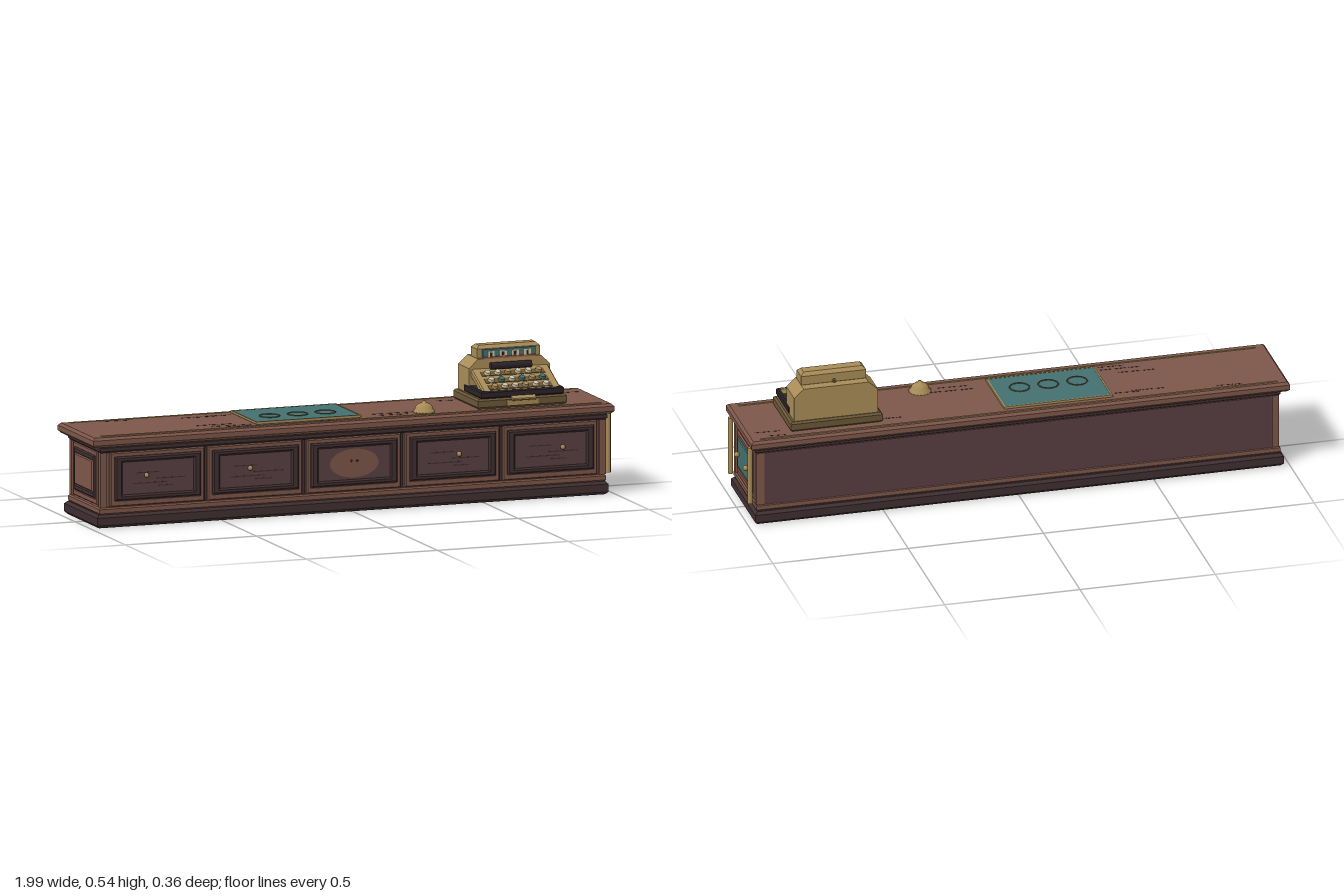
import * as THREE from 'three';

const mat = (name, color) => Object.assign(new THREE.MeshStandardMaterial({ color }), { name });
const M = {
  wood: mat('warm wood', 0x7d5649), dark: mat('dark wood', 0x402f31), plum: mat('plum wood', 0x593f42),
  brass: mat('brass', 0xa88c57), bronze: mat('dark bronze', 0x6a5737), teal: mat('teal leather', 0x43706f),
  black: mat('black enamel', 0x2b2328), cream: mat('cream', 0xd2c6a4), red: mat('copper', 0x9c5f48),
};

function add(parent, name, geo, material, x = 0, y = 0, z = 0) {
  const m = new THREE.Mesh(geo, material);
  m.name = name;
  m.position.set(x, y, z);
  parent.add(m);
  return m;
}

const box = (p, name, mt, w, h, d, x, y, z) => add(p, name, new THREE.BoxGeometry(w, h, d), mt, x, y, z);

function rect(w, h, Kind = THREE.Shape) {
  const s = new Kind();
  s.moveTo(-w / 2, -h / 2);
  s.lineTo(w / 2, -h / 2);
  s.lineTo(w / 2, h / 2);
  s.lineTo(-w / 2, h / 2);
  s.closePath();
  return s;
}

// Bevelled slab in the xy plane, centred, with an optional rectangular opening
function slab(w, h, d, c, hole) {
  const s = rect(w - 2 * c, h - 2 * c);
  if (hole) s.holes.push(rect(hole[0] + 2 * c, hole[1] + 2 * c, THREE.Path));
  const g = new THREE.ExtrudeGeometry(s, {
    depth: d - 2 * c, bevelEnabled: c > 0, bevelSize: c, bevelThickness: c, bevelSegments: 1, curveSegments: 1,
  });
  return g.translate(0, 0, -(d - 2 * c) / 2);
}

// Chamfered box given by its limits
function block(p, name, mt, x0, x1, y0, y1, z0, z1, c) {
  const g = slab(x1 - x0, z1 - z0, y1 - y0, c).rotateX(-Math.PI / 2);
  return add(p, name, g, mt, (x0 + x1) / 2, (y0 + y1) / 2, (z0 + z1) / 2);
}

const knobGeo = (r) => new THREE.SphereGeometry(r, 12, 8);

function counter(p) {
  block(p, 'plinth', M.dark, -0.98, 0.973, 0, 0.048, -0.168, 0.163, 0.01);
  block(p, 'plinthMoulding', M.wood, -0.97, 0.965, 0.048, 0.073, -0.155, 0.16, 0.005);
  box(p, 'body', M.wood, 1.9, 0.21, 0.296, 0, 0.175, -0.004);
  box(p, 'backPanel', M.plum, 1.87, 0.2, 0.004, 0, 0.174, -0.153);
  block(p, 'topMoulding', M.dark, -0.97, 0.968, 0.272, 0.296, -0.155, 0.163, 0.006);
  block(p, 'countertop', M.wood, -1, 0.99, 0.294, 0.33, -0.18, 0.175, 0.009);
  for (const z of [-0.157, 0.142]) box(p, 'topInlay', M.brass, 1.91, 0.003, 0.006, -0.003, 0.331, z);
  // Corner stiles at all four corners
  for (const x of [-0.953, 0.953]) for (const z of [-0.143, 0.145])
    box(p, 'cornerStile', M.wood, 0.024, 0.2, 0.022, x, 0.173, z);
}

function drawers(p) {
  const frame = slab(0.36, 0.197, 0.018, 0.004, [0.318, 0.15]);
  const moulding = slab(0.33, 0.16, 0.022, 0.006, [0.272, 0.118]);
  [-0.75, -0.377, 0, 0.377, 0.75].forEach((x, i) => {
    const g = new THREE.Group();
    g.name = 'frontBay';
    g.position.set(x, 0.174, 0);
    p.add(g);
    add(g, 'bayFrame', frame, M.wood, 0, 0, 0.154);
    add(g, 'panelMoulding', moulding, M.dark, 0, 0.003, 0.162);
    add(g, 'panel', slab(0.285, 0.13, 0.02, 0.004), M.plum, 0, 0.003, 0.156);
    if (i === 2) {
      // Oval inlay with two small studs
      const oval = new THREE.CircleGeometry(1, 32).scale(0.093, 0.052, 1);
      add(g, 'ovalInlay', oval, M.wood, 0, 0.003, 0.1672);
      for (const s of [-0.011, 0.011]) add(g, 'stud', knobGeo(0.004), M.dark, s, 0.012, 0.1675);
      return;
    }
    const kx = Math.sign(x) * (Math.abs(x) > 0.5 ? 0.045 : 0.022);
    add(g, 'knob', knobGeo(0.009), M.brass, kx, 0.011, 0.172);
    // Wood grain dashes
    for (const [gx, gy, w] of [[-0.04, 0.02, 0.09], [0.05, -0.004, 0.11], [-0.03, -0.018, 0.13], [0.03, -0.03, 0.06]])
      box(g, 'grain', M.dark, w, 0.0035, 0.001, gx, gy, 0.1664);
  });
  for (const x of [-0.563, -0.188, 0.188, 0.563]) box(p, 'divider', M.dark, 0.01, 0.2, 0.008, x, 0.173, 0.147);
}

function ends(p) {
  for (const s of [-1, 1]) {
    const g = new THREE.Group();
    g.name = s > 0 ? 'leftEnd' : 'rightEnd';
    g.position.set(s * 0.95, 0.174, -0.001);
    g.rotation.y = s * Math.PI / 2;
    p.add(g);
    add(g, 'endFrame', slab(0.235, 0.195, 0.016, 0.004, [0.196, 0.15]), M.wood, 0, 0, 0.006);
    add(g, 'endMoulding', slab(0.2, 0.156, 0.02, 0.005, [0.176, 0.112]), s > 0 ? M.wood : M.dark, 0, 0.003, 0.01);
    add(g, 'endPanel', slab(0.178, 0.114, 0.02, 0.004), s > 0 ? M.teal : M.wood, 0, 0.004, 0.012);
    if (s < 0) continue;
    for (const x of [-0.06, 0.06]) add(g, 'endKnob', knobGeo(0.01), M.brass, x, 0.005, 0.031);
    for (const x of [-0.132, 0.135])
      add(g, 'brassPost', new THREE.CylinderGeometry(0.0095, 0.0095, 0.218, 8), M.brass, x, 0.01, 0.034);
  }
}

function topItems(p) {
  // Writing pad with brass border and three rings
  box(p, 'writingPad', M.teal, 0.395, 0.01, 0.246, -0.155, 0.334, -0.01);
  const border = slab(0.402, 0.253, 0.008, 0, [0.39, 0.241]).rotateX(-Math.PI / 2);
  add(p, 'padBorder', border, M.brass, -0.155, 0.336, -0.01);
  for (const x of [-0.265, -0.158, -0.052]) {
    const ring = add(p, 'ringInlay', new THREE.TorusGeometry(0.036, 0.0025, 5, 28), M.bronze, x, 0.34, 0.014);
    ring.rotation.x = Math.PI / 2;
  }
  // Service bell
  const bell = [[0, 0], [0.04, 0], [0.04, 0.006], [0.034, 0.009], [0.031, 0.02], [0.022, 0.03], [0.008, 0.035], [0.006, 0.042], [0, 0.043]];
  add(p, 'bell', new THREE.LatheGeometry(bell.map(([x, y]) => new THREE.Vector2(x, y)), 20), M.brass, 0.295, 0.33, 0.092);
  // Grain dashes on the countertop
  const dashes = [[-0.79, -0.138, 0.1], [-0.5, -0.1, 0.13], [-0.42, -0.106, 0.1], [-0.5, 0.062, 0.14], [-0.45, 0.098, 0.16],
    [-0.42, 0.122, 0.1], [-0.08, 0.128, 0.08], [0.18, 0.07, 0.18], [0.17, 0.1, 0.12], [0.45, -0.1, 0.08], [0.88, -0.138, 0.06], [0.91, -0.1, 0.1]];
  for (const [x, z, w] of dashes) for (const k of [-0.3, 0.04, 0.36])
    box(p, 'topGrain', M.dark, w * 0.27, 0.001, 0.0045, x + k * w, 0.3303, z + k * 0.006);
}

function register(p) {
  const g = new THREE.Group();
  g.name = 'cashRegister';
  g.position.x = 0.661;
  p.add(g);
  block(g, 'registerBase', M.bronze, -0.17, 0.17, 0.33, 0.367, -0.128, 0.118, 0.007);
  block(g, 'registerDrawer', M.black, -0.158, 0.158, 0.367, 0.395, -0.053, 0.12, 0.005);
  box(g, 'basePlate', M.brass, 0.12, 0.018, 0.004, 0, 0.348, 0.118);
  const handle = add(g, 'drawerHandle', slab(0.09, 0.01, 0.024, 0.003), M.brass, 0, 0.366, 0.131);
  handle.rotation.x = 0.45;

  // Cabinet with sloped shoulders
  const c = new THREE.Shape([[-0.155, 0.366], [0.155, 0.366], [0.155, 0.457], [0.12, 0.489], [-0.12, 0.489], [-0.155, 0.457]]
    .map(([x, y]) => new THREE.Vector2(x, y)));
  add(g, 'cabinet', new THREE.ExtrudeGeometry(c, { depth: 0.108, bevelEnabled: false }), M.brass, 0, 0, -0.118);
  // Display housing
  block(g, 'displayHousing', M.brass, -0.12, 0.12, 0.478, 0.535, -0.083, -0.022, 0.012);
  box(g, 'displayGlass', M.teal, 0.2, 0.034, 0.01, 0, 0.504, -0.019);
  for (let i = 0; i < 4; i++) {
    box(g, 'displayFlag', M.cream, 0.026, 0.022, 0.003, -0.069 + i * 0.046, 0.503, -0.0135);
    box(g, 'displayMark', M.black, 0.009, 0.014, 0.001, -0.069 + i * 0.046, 0.503, -0.0115);
  }
  box(g, 'displaySill', M.red, 0.2, 0.007, 0.01, 0, 0.491, -0.012);
  const pin = add(g, 'rearPin', new THREE.CylinderGeometry(0.006, 0.006, 0.014, 8), M.bronze, 0, 0.496, -0.087);
  pin.rotation.x = Math.PI / 2;
  // Roller above the keys
  const roller = add(g, 'roller', new THREE.CylinderGeometry(0.013, 0.013, 0.155, 8), M.black, 0, 0.463, 0.002);
  roller.rotation.z = Math.PI / 2;

  // Sloped keyboard
  const k = new THREE.Group();
  k.name = 'keyboard';
  k.position.set(0, 0.414, 0.042);
  k.rotation.x = 0.45;
  g.add(k);
  block(k, 'keyBoard', M.brass, -0.148, 0.148, -0.013, 0.013, -0.077, 0.077, 0.005);
  const key = new THREE.CylinderGeometry(0.0105, 0.0125, 0.011, 10);
  [-0.03, 0.013, 0.053].forEach((z, r) => {
    box(k, 'keyRow', M.bronze, 0.24, 0.003, 0.026, 0, 0.0135, z);
    for (let i = 0; i < 6; i++) {
      const m = r === 1 && i % 2 ? M.teal : (i + r) % 3 === 2 ? M.brass : M.cream;
      add(k, 'key', key, m, -0.0975 + i * 0.039, 0.019, z);
    }
  });
}

export function createModel() {
  const model = new THREE.Group();
  model.name = 'shopCounter';
  const g = new THREE.Group();
  g.name = 'counterAssembly';
  g.position.x = 0.002;
  model.add(g);
  counter(g);
  drawers(g);
  ends(g);
  topItems(g);
  register(g);
  return model;
}
